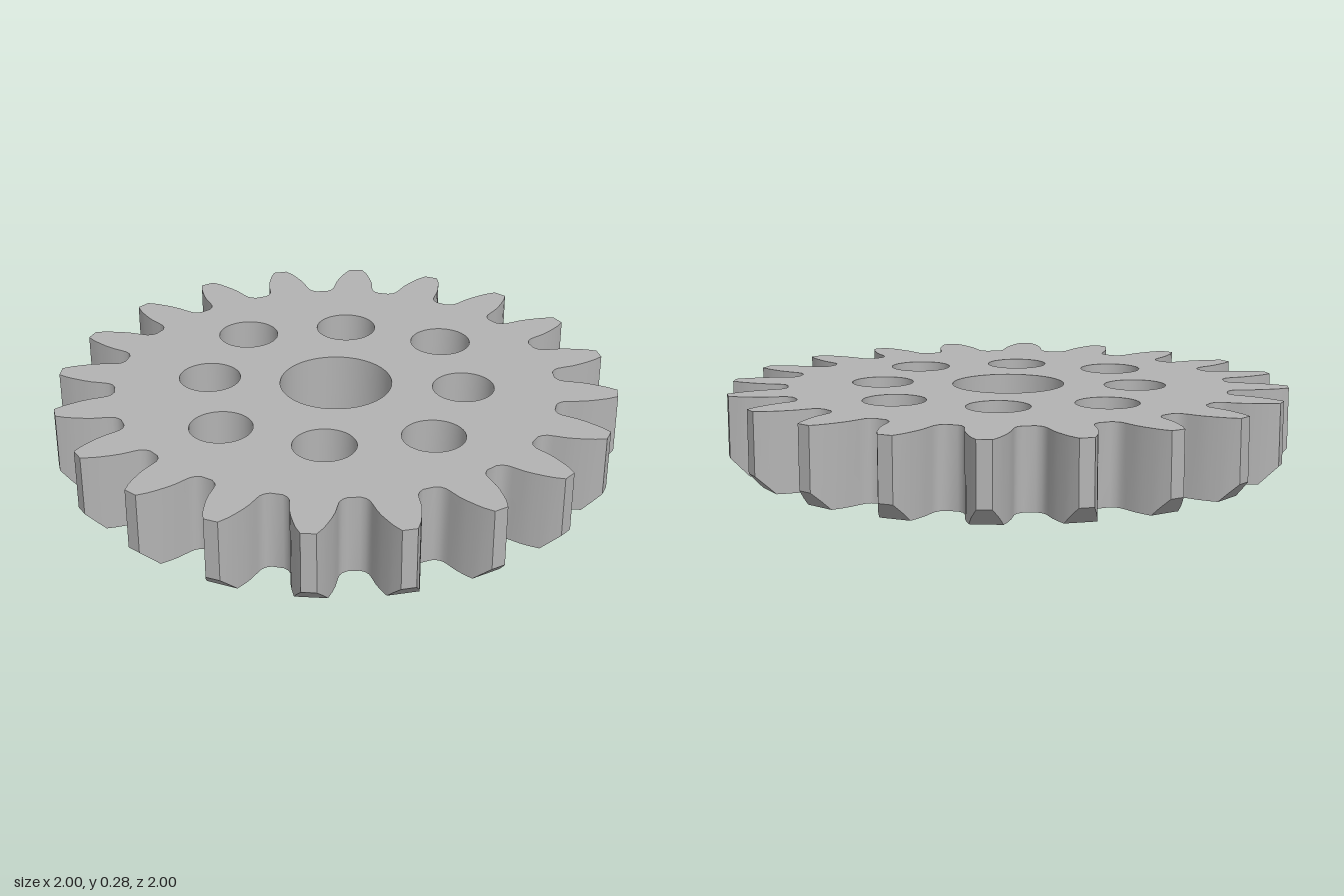
import * as THREE from 'three';
import { toCreasedNormals } from 'three/addons/utils/BufferGeometryUtils.js';

const TEETH = 20, HEIGHT = 0.28, CHAMFER_R = 0.938, POCKET_DEPTH = 0.14;
const BORE_R = 0.2, HOLE_R = 0.11, NUT_R = 0.213;

// Half of one tooth, tip to root: [degrees from the tooth axis, radius]
const FLANK = [
  [1.45, 1], [2.6, 0.966], [3.3, CHAMFER_R], [4.1, 0.905], [4.73, 0.873],
  [5.23, 0.833], [5.6, 0.812], [6.3, 0.798], [7.5, 0.788],
];

const polar = (deg, r) => new THREE.Vector2(
  r * Math.cos(THREE.MathUtils.degToRad(deg)), r * Math.sin(THREE.MathUtils.degToRad(deg)));

// Counter-clockwise gear outline, cut off at a largest radius
function gearOutline(maxR) {
  const half = FLANK.filter(([, r]) => r <= maxR);
  const points = [];
  for (let i = 0; i < TEETH; i++) {
    const axis = i * 360 / TEETH;
    for (const [a, r] of [...half].reverse()) points.push(polar(axis - a, r));
    for (const [a, r] of half) points.push(polar(axis + a, r));
  }
  return points;
}

// Regular polygon, clockwise so its walls face inwards
function ring(center, radius, sides) {
  return Array.from({ length: sides }, (_, i) => polar(-i * 360 / sides, radius).add(center));
}

// Flat face with holes at a given height
function cap(outline, holes, height, faceDown) {
  const shape = new THREE.Shape(outline);
  shape.holes = holes.map((h) => new THREE.Path(h));
  const geometry = new THREE.ShapeGeometry(shape);
  if (faceDown) {
    geometry.index.array.reverse();
    geometry.attributes.normal.array.forEach((v, i, n) => { n[i] = -v; });
  }
  return geometry.translate(0, 0, height);
}

// Closed upright wall around a loop; its foot may vary in height
function wall(loop, foot, top) {
  const positions = [];
  loop.forEach((p, i) => {
    const q = loop[(i + 1) % loop.length];
    const a = [p.x, p.y, foot(p)], b = [q.x, q.y, foot(q)];
    const c = [q.x, q.y, top], d = [p.x, p.y, top];
    positions.push(...a, ...b, ...c, ...a, ...c, ...d);
  });
  return fromTriangles(positions);
}

function fromTriangles(positions) {
  const geometry = new THREE.BufferGeometry();
  geometry.setAttribute('position', new THREE.Float32BufferAttribute(positions, 3));
  geometry.computeVertexNormals();
  return toCreasedNormals(geometry, 0.6);
}

// Sloping undersides of the tooth tips
function tipChamfers() {
  const half = FLANK.filter(([, r]) => r >= CHAMFER_R);
  const positions = [];
  for (let i = 0; i < TEETH; i++) {
    const axis = i * 360 / TEETH;
    const at = ([a, r], side) => {
      const p = polar(axis + side * a, r);
      return [p.x, p.y, r - CHAMFER_R];
    };
    for (let j = 0; j < half.length - 1; j++) {
      const a = at(half[j], -1), b = at(half[j], 1);
      const c = at(half[j + 1], 1), d = at(half[j + 1], -1);
      positions.push(...a, ...d, ...c, ...a, ...c, ...b);
    }
  }
  return fromTriangles(positions);
}

export function createModel() {
  const gear = new THREE.Group();
  gear.name = 'spurGear';
  gear.rotation.x = -Math.PI / 2;
  const grey = new THREE.MeshStandardMaterial({ color: 0xb3b3b3 });
  grey.name = 'grey';
  const add = (name, geometry) => {
    const mesh = new THREE.Mesh(geometry, grey);
    mesh.name = name;
    gear.add(mesh);
  };

  // Bore, four plain holes on the axes, four bolt holes on the diagonals
  const bore = ring(new THREE.Vector2(), BORE_R, 64);
  const plainHoles = [0, 90, 180, 270].map((a) => ring(polar(a, 0.455), HOLE_R, 40));
  const boltCenters = [45, 135, 225, 315].map((a) => polar(a, 0.512));
  const boltHoles = boltCenters.map((c) => ring(c, HOLE_R, 40));
  const nutPockets = boltCenters.map((c) => ring(c, NUT_R, 6));

  // Faces
  const outline = gearOutline(1);
  add('topFace', cap(outline, [bore, ...plainHoles, ...boltHoles], HEIGHT, false));
  add('bottomFace', cap(gearOutline(CHAMFER_R), [bore, ...plainHoles, ...nutPockets], 0, true));

  // Toothed rim with chamfered lower tips
  add('teeth', wall(outline, (p) => Math.max(0, p.length() - CHAMFER_R), HEIGHT));
  add('tipChamfers', tipChamfers());

  // Holes and hexagonal nut pockets
  add('boreWall', wall(bore, () => 0, HEIGHT));
  plainHoles.forEach((h) => add('plainHoleWall', wall(h, () => 0, HEIGHT)));
  boltHoles.forEach((h, i) => {
    add('boltHoleWall', wall(h, () => POCKET_DEPTH, HEIGHT));
    add('nutPocketWall', wall(nutPockets[i], () => 0, POCKET_DEPTH));
    add('nutPocketCeiling', cap(nutPockets[i], [h], POCKET_DEPTH, true));
  });

  const model = new THREE.Group();
  model.name = 'gearModel';
  model.add(gear);
  return model;
}
